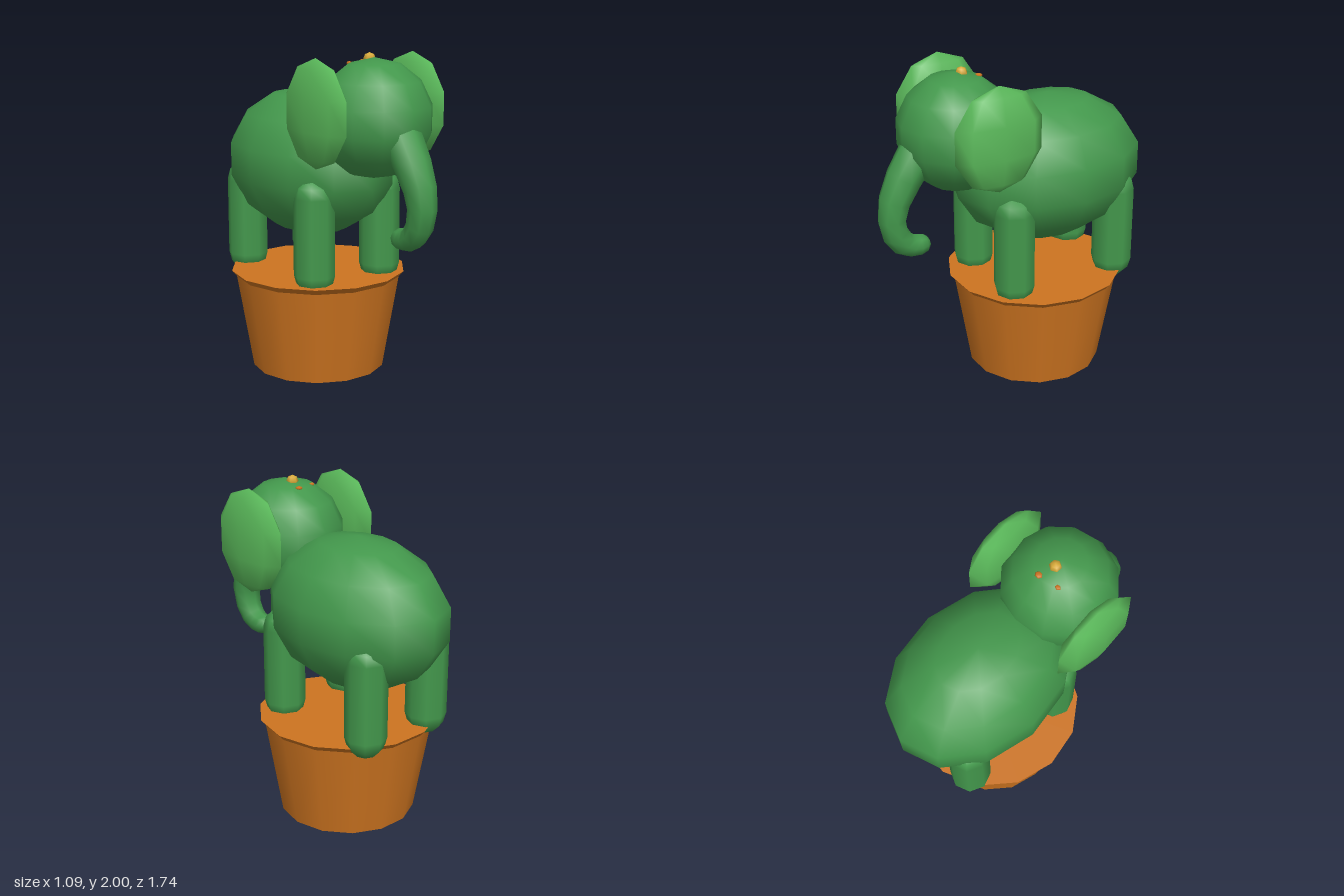
import * as THREE from 'three';

const material = (name, color) => {
  const m = new THREE.MeshStandardMaterial({ color });
  m.name = name;
  return m;
};

// Tapered tube in the x = 0 plane; each station is [z, y, radius]
function taperedTube(stations, sides) {
  const pos = [], index = [];
  stations.forEach(([z, y, r], i) => {
    const p = stations[Math.max(i - 1, 0)];
    const n = stations[Math.min(i + 1, stations.length - 1)];
    const len = Math.hypot(n[0] - p[0], n[1] - p[1]);
    const tz = (n[0] - p[0]) / len, ty = (n[1] - p[1]) / len;
    for (let j = 0; j < sides; j++) {
      const a = (j / sides) * Math.PI * 2;
      const s = r * Math.sin(a);
      pos.push(r * Math.cos(a), y + s * tz, z - s * ty);
      if (i < stations.length - 1) {
        const a0 = i * sides + j, b0 = i * sides + (j + 1) % sides;
        index.push(a0, b0, a0 + sides, b0, b0 + sides, a0 + sides);
      }
    }
  });
  const g = new THREE.BufferGeometry();
  g.setAttribute('position', new THREE.Float32BufferAttribute(pos, 3));
  g.setIndex(index);
  g.computeVertexNormals();
  return g;
}

export function createModel() {
  const model = new THREE.Group();
  model.name = 'elephantTopiary';

  const leafGreen = material('leafGreen', 0x43984c);
  const earGreen = material('earGreen', 0x5ab95a);
  const terracotta = material('terracotta', 0xcd7420);
  const blossomYellow = material('blossomYellow', 0xd8aa38);

  const add = (name, geometry, mat, x, y, z) => {
    const mesh = new THREE.Mesh(geometry, mat);
    mesh.name = name;
    mesh.position.set(x, y, z);
    model.add(mesh);
    return mesh;
  };
  const ellipsoid = (rx, ry, rz, w, h) => new THREE.SphereGeometry(1, w, h).scale(rx, ry, rz);

  // Pot with a flared lip
  add('pot', new THREE.CylinderGeometry(0.515, 0.415, 0.59, 14).rotateY(Math.PI / 2),
    terracotta, 0, 0.295, -0.18);
  add('potRim', new THREE.CylinderGeometry(0.545, 0.515, 0.035, 14).rotateY(Math.PI / 2),
    terracotta, 0, 0.6075, -0.18);

  // Body and head
  add('body', ellipsoid(0.456, 0.455, 0.626, 12, 7), leafGreen, 0, 1.295, -0.26);
  add('head', ellipsoid(0.35, 0.35, 0.35, 12, 7), leafGreen, 0, 1.625, 0.36);

  // Trunk, curling back at the tip
  add('trunk', taperedTube([
    [0.52, 1.62, 0.115], [0.62, 1.52, 0.115], [0.70, 1.40, 0.108],
    [0.765, 1.27, 0.095], [0.785, 1.16, 0.085], [0.765, 1.06, 0.08],
    [0.72, 0.995, 0.075], [0.67, 0.967, 0.07], [0.62, 0.96, 0.066],
    [0.58, 0.965, 0.055], [0.556, 0.97, 0.03], [0.555, 0.971, 0],
  ], 8), leafGreen, 0, 0, 0);

  // Ears and legs, mirrored
  const legGeometry = new THREE.CapsuleGeometry(0.125, 0.475, 3, 8);
  const earGeometry = ellipsoid(0.089, 0.315, 0.292, 8, 5);
  for (const [side, s] of [['left', 1], ['right', -1]]) {
    add(side + 'Ear', earGeometry, earGreen, s * 0.36, 1.67, 0.28);
    add(side + 'FrontLeg', legGeometry, leafGreen, s * 0.25, 0.9125, 0.115);
    add(side + 'BackLeg', legGeometry, leafGreen, s * 0.25, 0.9125, -0.595);
  }

  // Small blossom on the head with two petal tips
  add('blossomCentre', new THREE.SphereGeometry(0.037, 6, 4).rotateY(Math.PI / 2),
    blossomYellow, 0, 1.963, 0.315);
  add('rightPetal', ellipsoid(0.02, 0.01, 0.016, 5, 4), terracotta, -0.093, 1.939, 0.245);
  add('leftPetal', ellipsoid(0.024, 0.01, 0.022, 6, 4), terracotta, 0.03, 1.942, 0.22);

  return model;
}
